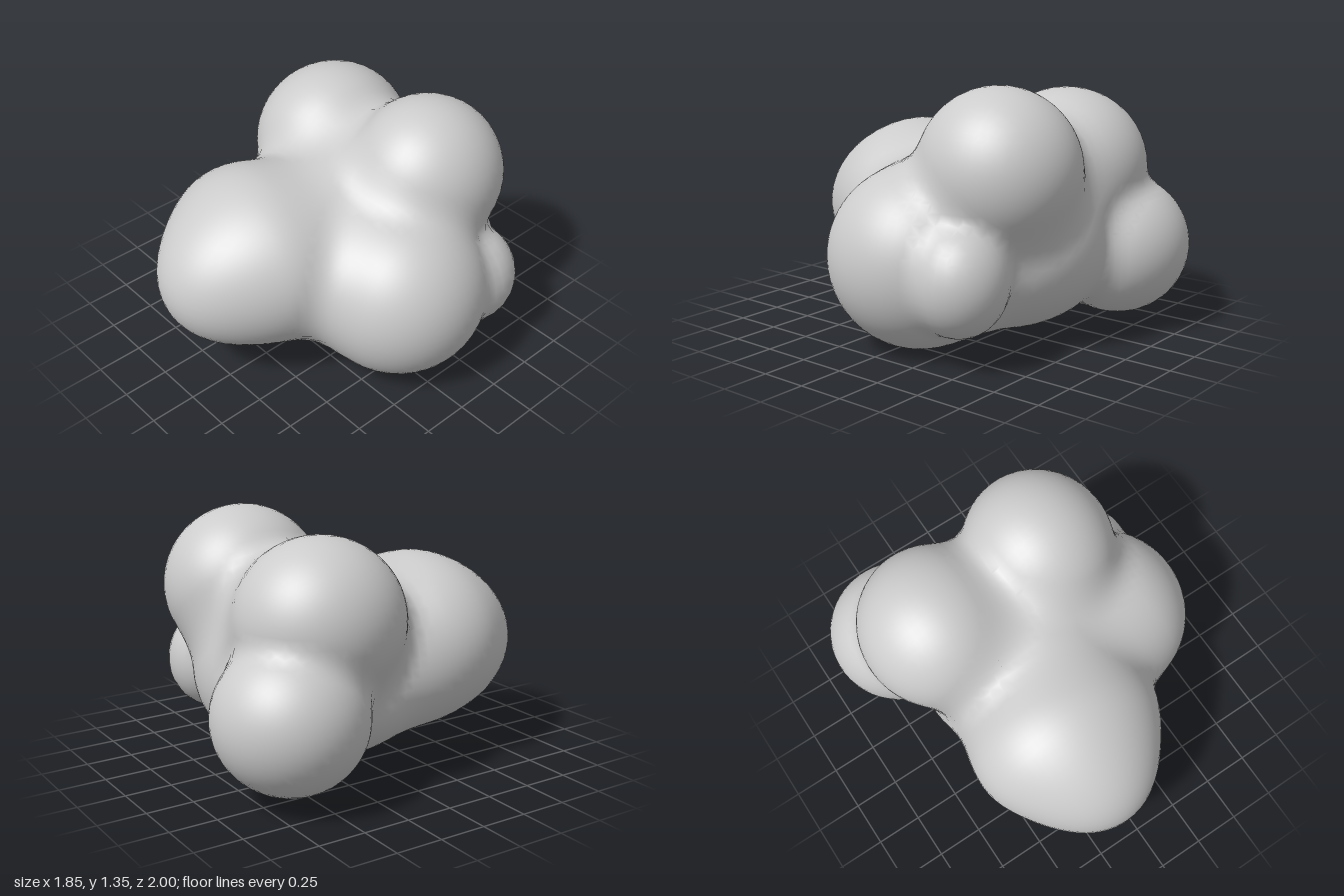
import * as THREE from 'three';

// Rounded lobes: centre x, y, z, radii along x, y, z, then softness of the joint
const LOBES = [
  [0.0, 0.58, -0.19, 0.56, 0.52, 0.6, 0.2],       // core
  [-0.08, 0.38, -0.12, 0.5, 0.29, 0.52, 0.2],     // underside
  [-0.12, 0.61, 0.42, 0.53, 0.465, 0.46, 0.18],   // front
  [-0.12, 0.57, 0.68, 0.3, 0.3, 0.31, 0.2],       // front tip
  [0.46, 0.475, -0.05, 0.465, 0.475, 0.475, 0.16],// left side
  [0.27, 0.93, -0.41, 0.405, 0.42, 0.425, 0.12],  // upper left
  [-0.4, 0.86, -0.36, 0.42, 0.42, 0.44, 0.14],    // upper right
  [0.61, 0.44, -0.43, 0.25, 0.28, 0.25, 0.06],    // small knob behind the left side
  [-0.53, 0.44, -0.61, 0.395, 0.38, 0.39, 0.08],  // lower back right
];
const STEP = 0.05;
const MIN = [-1.1, -0.15, -1.15];
const COUNT = [45, 34, 46];

// Distance to the softly merged lobes
function field(x, y, z) {
  let d = Infinity;
  for (const [cx, cy, cz, rx, ry, rz, blend] of LOBES) {
    const e = (Math.hypot((x - cx) / rx, (y - cy) / ry, (z - cz) / rz) - 1) * Math.min(rx, ry, rz);
    const h = Math.max(blend - Math.abs(d - e), 0) / blend;
    d = Math.min(d, e) - h * h * blend * 0.25;
  }
  return d;
}

function gradient(p) {
  const e = 0.004;
  return new THREE.Vector3(
    field(p.x + e, p.y, p.z) - field(p.x - e, p.y, p.z),
    field(p.x, p.y + e, p.z) - field(p.x, p.y - e, p.z),
    field(p.x, p.y, p.z + e) - field(p.x, p.y, p.z - e)
  ).normalize();
}

// Skin the field with one vertex per crossed grid cell
function blobGeometry() {
  const positions = [], normals = [], indices = [];
  const vertexOf = new Map();
  const at = (c) => field(...c.map((n, i) => MIN[i] + n * STEP));

  function vertex(cell) {
    const key = cell.join();
    if (!vertexOf.has(key)) {
      const p = new THREE.Vector3(...cell.map((n, i) => MIN[i] + (n + 0.5) * STEP));
      for (let i = 0; i < 5; i++) p.addScaledVector(gradient(p), -field(p.x, p.y, p.z));
      vertexOf.set(key, positions.length / 3);
      positions.push(p.x, p.y, p.z);
      normals.push(...gradient(p).toArray());
    }
    return vertexOf.get(key);
  }

  for (let i = 1; i < COUNT[0]; i++)
    for (let j = 1; j < COUNT[1]; j++)
      for (let k = 1; k < COUNT[2]; k++) {
        const c = [i, j, k];
        const inside = at(c) < 0;
        for (let axis = 0; axis < 3; axis++) {
          const next = c.slice();
          next[axis]++;
          if (inside === at(next) < 0) continue;
          const quad = [[-1, -1], [0, -1], [0, 0], [-1, 0]].map(([u, v]) => {
            const cell = c.slice();
            cell[(axis + 1) % 3] += u;
            cell[(axis + 2) % 3] += v;
            return vertex(cell);
          });
          if (!inside) quad.reverse();
          const [a, b, d, e] = quad;
          indices.push(a, b, d, a, d, e);
        }
      }

  const geometry = new THREE.BufferGeometry();
  geometry.setAttribute('position', new THREE.Float32BufferAttribute(positions, 3));
  geometry.setAttribute('normal', new THREE.Float32BufferAttribute(normals, 3));
  geometry.setIndex(indices);
  return geometry;
}

export function createModel() {
  const group = new THREE.Group();
  group.name = 'lumpyBlob';
  const body = new THREE.Mesh(blobGeometry(), new THREE.MeshStandardMaterial({ color: 0xcccccc }));
  body.name = 'mergedLobes';
  group.add(body);
  return group;
}
